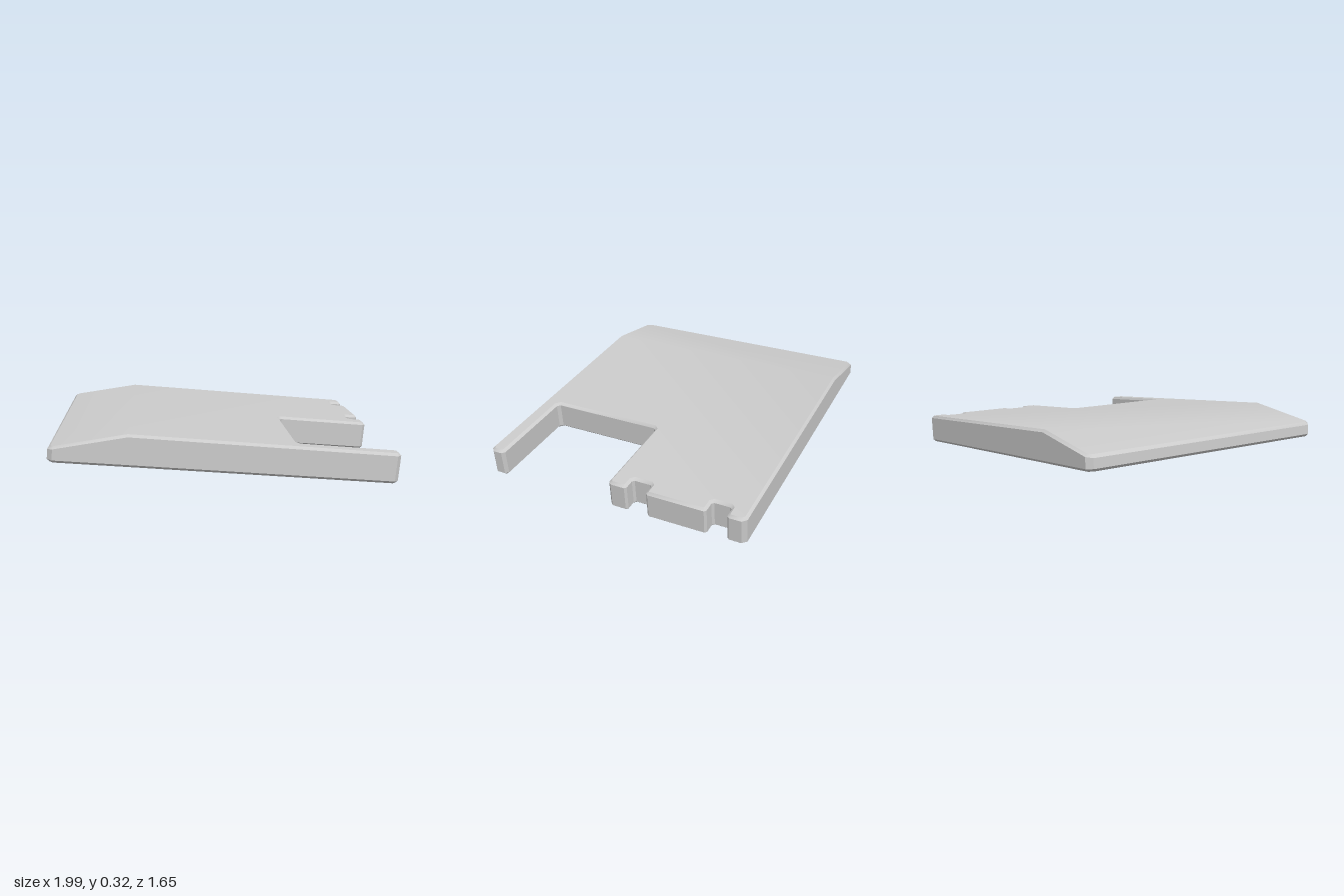
import * as THREE from 'three';
import { toCreasedNormals } from 'three/addons/utils/BufferGeometryUtils.js';

const FOLD = -0.55; // x of the ridge across the upper face
const BEVEL = 0.015;

// Heights of the sloping underside and of the folded upper face
const bottomY = (x) => 0.17 - 0.085 * (x + 0.97);
const topY = (x) => (x < FOLD ? 0.322 + 0.145 * (x - FOLD) : 0.322 - 0.0915 * (x - FOLD));

// Plan outline as [x, z, corner cut]
const corners = [
  [-0.995, -0.825, 0.03], [FOLD, -0.825, 0], [0.987, -0.825, 0.025],
  [0.987, -0.715, 0.012], [0.905, -0.715, 0.012], [0.905, -0.597, 0.012], [0.99, -0.597, 0.012],
  [0.99, -0.232, 0.012], [0.905, -0.232, 0.012], [0.905, -0.108, 0.012], [0.987, -0.108, 0.012],
  [0.987, 0.008, 0.018], [0.405, 0.008, 0.018], [0.405, 0.728, 0.018], [0.987, 0.728, 0.018],
  [0.987, 0.825, 0.025], [FOLD, 0.825, 0], [-0.995, 0.825, 0.03],
];

function cutCorners(list) {
  const pts = list.map(([x, z]) => new THREE.Vector2(x, z));
  const n = pts.length;
  return pts.flatMap((p, i) => {
    const cut = list[i][2];
    if (!cut) return [p];
    return [pts[(i + n - 1) % n], pts[(i + 1) % n]].map((q) =>
      p.clone().add(q.clone().sub(p).setLength(cut)));
  });
}

// Mitred inward offset of a closed outline
function inset(pts, d) {
  const n = pts.length;
  const inward = (a, b) => new THREE.Vector2(a.y - b.y, b.x - a.x).normalize();
  return pts.map((p, i) => {
    const n1 = inward(pts[(i + n - 1) % n], p);
    const n2 = inward(p, pts[(i + 1) % n]);
    return p.clone().addScaledVector(n1.clone().add(n2), d / (1 + n1.dot(n2)));
  });
}

function plateGeometry() {
  const outline = cutCorners(corners);
  const inner = inset(outline, BEVEL);
  const n = outline.length;
  const position = [];
  const index = [];

  // Four rings from underside to upper face, leaned square to the slope
  const rings = [
    [inner, (x) => bottomY(x)], [outline, (x) => bottomY(x) + BEVEL],
    [outline, (x) => topY(x) - BEVEL], [inner, (x) => topY(x)],
  ];
  for (const [pts, height] of rings) {
    for (const p of pts) {
      const y = height(p.x);
      const lean = 0.085 * (y - (bottomY(p.x) + topY(p.x)) / 2);
      position.push(p.x === FOLD ? p.x : p.x + lean, y, p.y);
    }
  }

  // Side walls and bevels
  for (let k = 0; k < 3; k++) {
    for (let i = 0; i < n; i++) {
      const a = k * n + i;
      const b = k * n + ((i + 1) % n);
      index.push(a, a + n, b, b, a + n, b + n);
    }
  }

  // Upper and lower faces, split along the ridge
  const seam = outline.map((p, i) => (p.x === FOLD ? i : -1)).filter((i) => i >= 0);
  const all = outline.map((_, i) => i);
  const halves = [
    all.filter((i) => i >= seam[0] && i <= seam[1]),
    all.filter((i) => i <= seam[0] || i >= seam[1]),
  ];
  for (const half of halves) {
    const faces = THREE.ShapeUtils.triangulateShape(half.map((i) => inner[i].clone()), []);
    for (const face of faces) {
      const [a, b, c] = face.map((i) => half[i]);
      index.push(a, b, c, a + 3 * n, c + 3 * n, b + 3 * n);
    }
  }

  const geometry = new THREE.BufferGeometry();
  geometry.setAttribute('position', new THREE.Float32BufferAttribute(position, 3));
  geometry.setIndex(index);
  return toCreasedNormals(geometry, 0.6);
}

export function createModel() {
  const group = new THREE.Group();
  group.name = 'notchedPlate';
  const plate = new THREE.Mesh(plateGeometry(), new THREE.MeshStandardMaterial({ color: 0xcccccc }));
  plate.name = 'plate';
  group.add(plate);
  return group;
}
